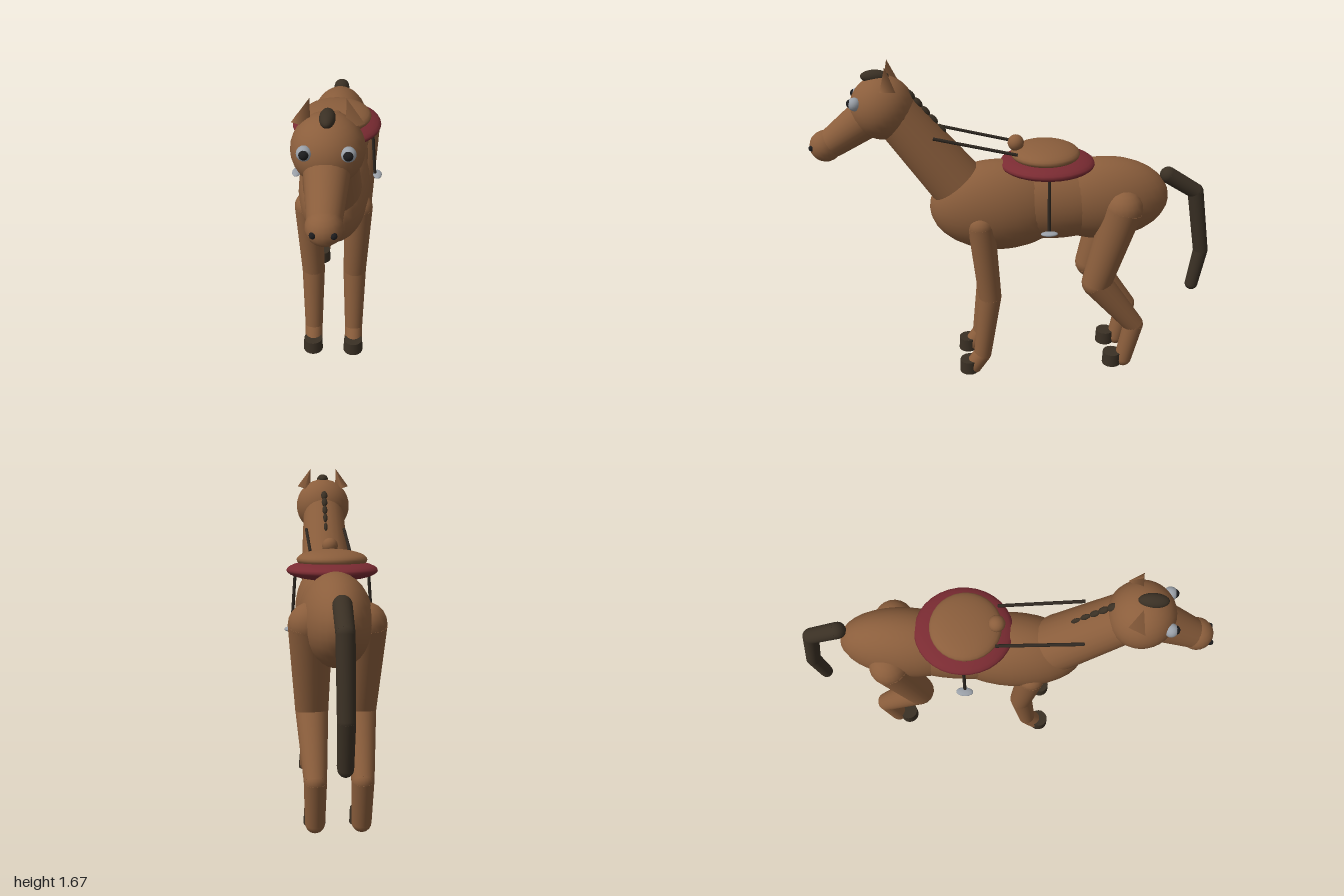
import * as THREE from 'three';

const paint = (name, color) => {
  const m = new THREE.MeshStandardMaterial({ color });
  m.name = name;
  return m;
};

export function createModel() {
  const coat = paint('brown coat', 0x8b5e3c);
  const hair = paint('dark hair', 0x3a3024);
  const red = paint('red blanket', 0x7a2b32);
  const leather = paint('dark leather', 0x2e2720);
  const steel = paint('grey metal', 0x9aa0a8);
  const black = paint('black', 0x1c1c1e);
  const horse = new THREE.Group();
  horse.name = 'horse';

  const add = (parent, name, geo, mat, pos) => {
    const m = new THREE.Mesh(geo, mat);
    m.name = name;
    m.position.set(...pos);
    parent.add(m);
    return m;
  };
  // ellipsoid with radii r
  const blob = (parent, name, mat, pos, r, seg = 32) => {
    const m = add(parent, name, new THREE.SphereGeometry(1, seg, seg / 2), mat, pos);
    m.scale.set(...r);
    return m;
  };
  const ball = (parent, name, mat, pos, r, seg = 20) => blob(parent, name, mat, pos, [r, r, r], seg);
  // tapered cylinder from a (radius ra) to b (radius rb)
  const rod = (parent, name, mat, a, b, ra, rb = ra, seg = 24) => {
    const A = new THREE.Vector3(...a), B = new THREE.Vector3(...b);
    const d = B.clone().sub(A);
    const mid = A.clone().add(B).multiplyScalar(0.5);
    const m = add(parent, name, new THREE.CylinderGeometry(rb, ra, d.length(), seg), mat, mid.toArray());
    m.quaternion.setFromUnitVectors(new THREE.Vector3(0, 1, 0), d.normalize());
    return m;
  };
  // chain of rods with ball joints; each point is [x, y, z, radius]
  const limb = (name, mat, pts) => {
    const g = new THREE.Group();
    g.name = name;
    horse.add(g);
    pts.forEach((p, i) => {
      ball(g, name + 'Joint', mat, p.slice(0, 3), p[3]);
      if (i) {
        const q = pts[i - 1];
        rod(g, name + 'Segment', mat, q.slice(0, 3), p.slice(0, 3), q[3], p[3]);
      }
    });
    return g;
  };

  // Torso
  blob(horse, 'chest', coat, [0, 0.942, 0.1], [0.175, 0.237, 0.35]);
  blob(horse, 'barrel', coat, [0, 0.955, -0.17], [0.16, 0.2, 0.42]);
  blob(horse, 'rump', coat, [0, 0.96, -0.42], [0.165, 0.215, 0.335]);

  // Neck, head and muzzle
  rod(horse, 'neck', coat, [0, 1.08, 0.32], [0, 1.43, 0.59], 0.136, 0.112);
  ball(horse, 'head', coat, [0, 1.462, 0.645], 0.15, 32);
  rod(horse, 'muzzle', coat, [0, 1.435, 0.69], [0, 1.29, 0.9], 0.1, 0.07);
  ball(horse, 'nose', coat, [0, 1.28, 0.925], 0.075);

  // Forelock and mane tufts
  blob(horse, 'forelock', hair, [0, 1.61, 0.67], [0.032, 0.03, 0.065]);
  [[1.52, 0.51], [1.482, 0.478], [1.44, 0.445], [1.398, 0.41], [1.35, 0.373]].forEach(([y, z], i) => {
    const tuft = blob(horse, 'maneTuft', hair, [0, y, z], [0.018 - i * 0.002, 0.028, 0.014], 16);
    tuft.rotation.x = 0.67;
  });

  // Tail
  limb('tail', hair, [[0, 1.07, -0.75, 0.042], [0, 0.975, -0.9, 0.04],
    [0, 0.635, -0.96, 0.038], [0, 0.432, -0.93, 0.034]]);

  // Saddle
  blob(horse, 'saddleBlanket', red, [0, 1.16, -0.135], [0.222, 0.05, 0.235]);
  blob(horse, 'saddleSeat', coat, [0, 1.21, -0.125], [0.172, 0.05, 0.17]);
  ball(horse, 'saddleHorn', coat, [0, 1.267, 0.02], 0.04);

  for (const s of [1, -1]) {
    const side = s > 0 ? 'left' : 'right';

    // Legs and hooves
    limb(side + 'FrontLeg', coat, [[s * 0.122, 0.885, 0.2, 0.067], [s * 0.106, 0.47, 0.163, 0.058],
      [s * 0.106, 0.12, 0.208, 0.046], [s * 0.106, 0.046, 0.258, 0.046]]);
    limb(side + 'HindLeg', coat, [[s * 0.122, 0.95, -0.5, 0.1], [s * 0.112, 0.53, -0.388, 0.077],
      [s * 0.106, 0.26, -0.6, 0.052], [s * 0.106, 0.046, -0.555, 0.046]]);
    for (const z of [0.28, -0.492]) {
      add(horse, side + 'Hoof', new THREE.CylinderGeometry(0.048, 0.051, 0.07, 20), hair, [s * 0.106, 0.054, z]);
    }

    // Ear
    const ear = add(horse, side + 'Ear', new THREE.ConeGeometry(0.045, 0.115, 3), coat, [s * 0.089, 1.615, 0.617]);
    ear.geometry.rotateY(Math.PI);
    ear.rotation.z = s * 0.32;

    // Eye and nostril
    ball(horse, side + 'Eye', steel, [s * 0.085, 1.505, 0.762], 0.031);
    ball(horse, side + 'Pupil', black, [s * 0.085, 1.508, 0.778], 0.021);
    ball(horse, side + 'Nostril', black, [s * 0.04, 1.283, 0.985], 0.014, 12);

    // Rein, stirrup strap and stirrup
    rod(horse, side + 'Rein', leather, [s * 0.104, 1.335, 0.415], [s * 0.1, 1.24, 0.02], 0.008, 0.008, 10);
    rod(horse, side + 'StirrupStrap', leather, [s * 0.178, 1.16, -0.125], [s * 0.198, 0.87, -0.125], 0.008, 0.008, 10);
    blob(horse, side + 'Stirrup', steel, [s * 0.211, 0.87, -0.125], [0.023, 0.01, 0.042], 20);
  }
  return horse;
}
